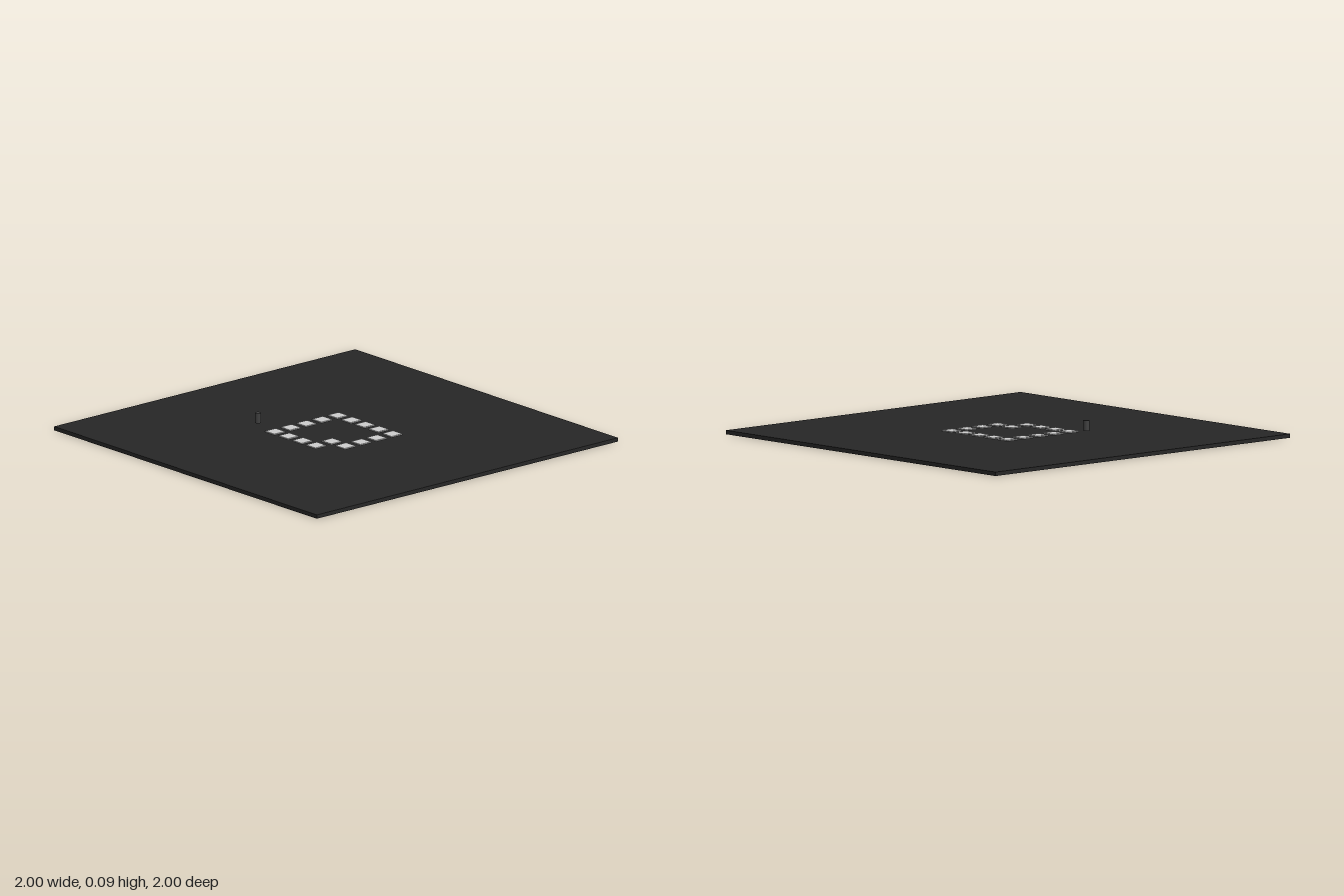
import * as THREE from 'three';

export function createModel() {
  const model = new THREE.Group();
  const add = (name, geometry, color, x, y, z, parent = model) => {
    const mesh = new THREE.Mesh(geometry, new THREE.MeshStandardMaterial({ color }));
    mesh.name = name;
    mesh.position.set(x, y, z);
    parent.add(mesh);
    return mesh;
  };

  // Thin square ground slab
  add('groundSlab', new THREE.BoxGeometry(2, 0.02, 2), 0x262626, 0, 0.01, 0);

  // Ring of square tiles, laid out from back to front
  const layout = ['#####', '#...#', '#...#', '##..#', '.####'];
  const pitch = 0.104;
  const tiles = new THREE.Group();
  tiles.name = 'tileTrack';
  model.add(tiles);
  const tile = new THREE.BoxGeometry(0.07, 0.015, 0.07);
  layout.forEach((row, r) => [...row].forEach((cell, c) => {
    if (cell === '#') add('tile', tile, 0xcccccc, -0.23 + c * pitch, 0.0175, -0.2 + r * pitch, tiles);
  }));

  // Small floating cylinder behind the back left corner tile
  add('marker', new THREE.CylinderGeometry(0.016, 0.016, 0.052, 24), 0x404040, -0.23, 0.066, -0.33);

  return model;
}
